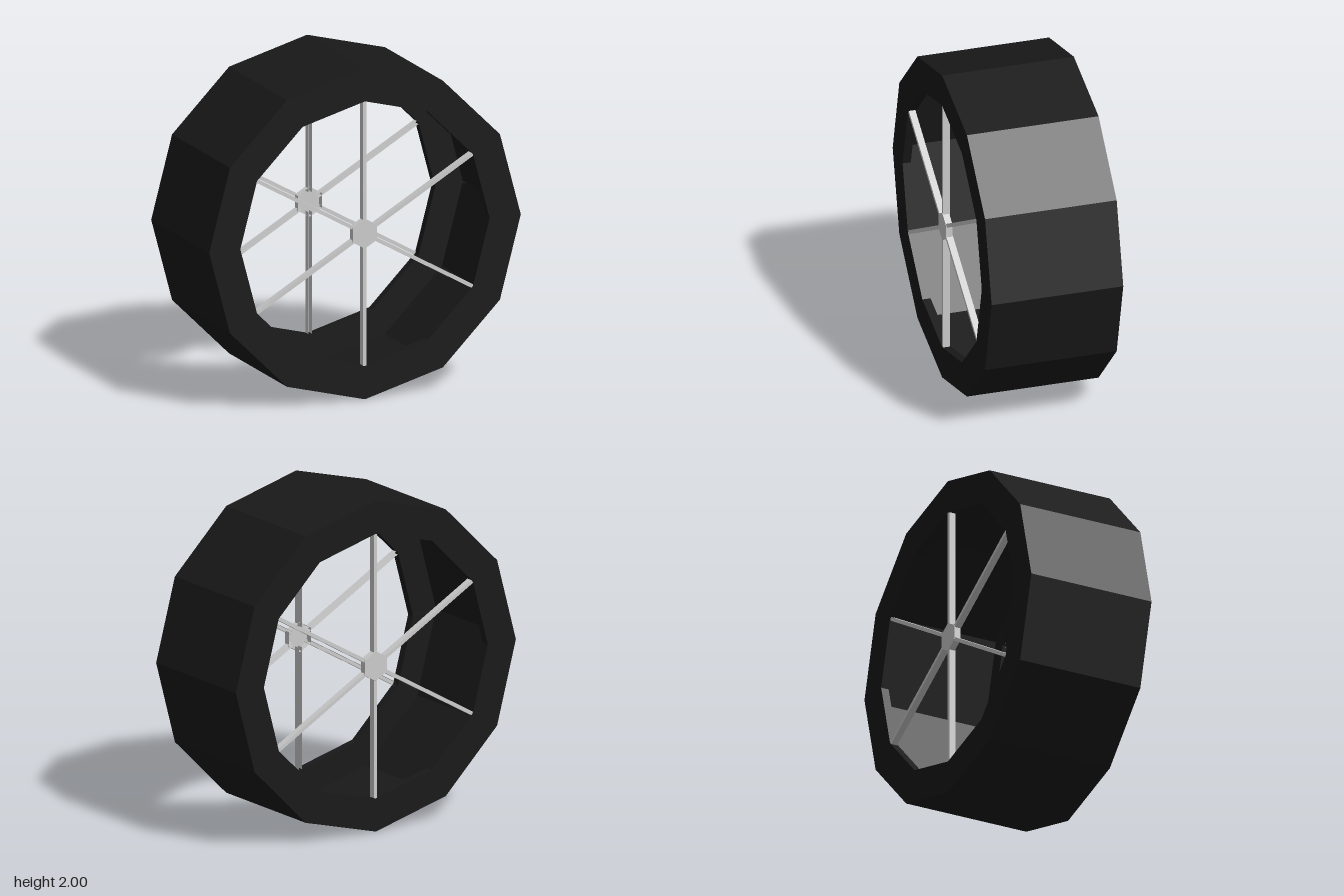
import * as THREE from 'three';

export function createModel() {
  const model = new THREE.Group();
  const look = (color) =>
    new THREE.MeshStandardMaterial({ color, flatShading: true, side: THREE.DoubleSide });
  const dark = look(0x191919);
  const grey = look(0xcccccc);

  const add = (parent, name, geometry, material) => {
    const mesh = new THREE.Mesh(geometry, material);
    mesh.name = name;
    parent.add(mesh);
    return mesh;
  };

  // Faceted shell turned around the z axis from [radius, z] points
  const turned = (points, sides) =>
    new THREE.LatheGeometry(points.map(([r, z]) => new THREE.Vector2(r, z)), sides)
      .rotateX(Math.PI / 2);

  // Wheel centre, with its axle along z
  const wheel = new THREE.Group();
  wheel.name = 'wheel';
  wheel.position.y = 1;
  model.add(wheel);

  // Twelve-sided tyre shell: tread, side walls and a short turned-in lip at each opening
  const outer = 1, opening = 0.8, half = 0.4, lip = 0.05;
  add(wheel, 'tyre', turned([
    [opening, lip - half], [opening, -half], [outer, -half],
    [outer, half], [opening, half], [opening, half - lip],
  ], 12), dark);

  // Spoke: an open channel, folded from a flat strip
  const spokeGeometry = new THREE.PlaneGeometry(1, 0.74, 3, 1).translate(0, 0.43, 0);
  const strip = spokeGeometry.attributes.position;
  for (let i = 0; i < strip.count; i++) {
    const x = strip.getX(i);
    strip.setX(i, Math.sign(x) * 0.011);
    strip.setZ(i, Math.abs(x) > 0.3 ? -0.04 : 0);
  }

  // One end of the wheel; the other is the same, turned half round
  for (const turn of [0, Math.PI]) {
    const end = new THREE.Group();
    end.name = turn ? 'backSpider' : 'frontSpider';
    end.rotation.y = turn;
    wheel.add(end);

    // Hexagonal hub cap, open on the inside
    add(end, 'hub', turned([[0.09, half - 0.04], [0.09, half], [0, half]], 6), grey);

    // Six thin spokes reaching the tyre opening
    for (let i = 0; i < 6; i++) {
      const spoke = add(end, 'spoke', spokeGeometry, grey);
      spoke.position.z = half - 0.003;
      spoke.rotation.z = i * Math.PI / 3;
    }

    // Seam webs between lip and tread
    for (const x of [1, -1]) {
      const web = new THREE.PlaneGeometry(outer - opening, lip).rotateX(-Math.PI / 2);
      add(end, 'seamWeb', web, dark)
        .position.set(x * (outer + opening) / 2, 0, half - lip / 2);
    }
  }
  return model;
}
